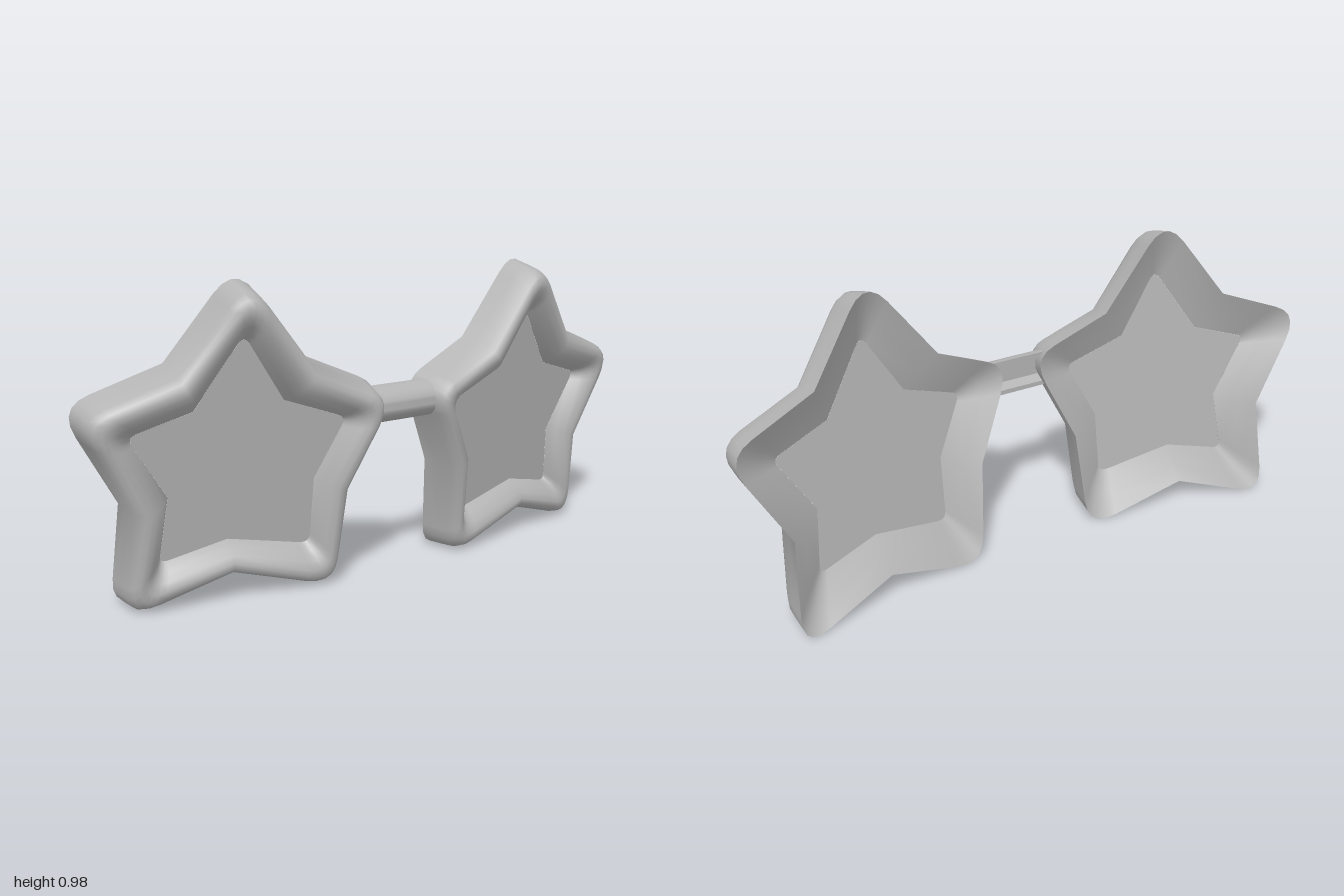
import * as THREE from 'three';
import { toCreasedNormals } from 'three/addons/utils/BufferGeometryUtils.js';

// Star corners, counterclockwise from the top: tip, notch, tip, notch...
const OUTER = [[0.535, 1.02], [0.31, 0.73], [0.045, 0.613], [0.18, 0.32], [0.21, -0.03],
  [0.56, 0.08], [0.89, -0.03], [0.867, 0.32], [1.036, 0.632], [0.74, 0.74]];
const INNER = [[0.53, 0.83], [0.4, 0.62], [0.195, 0.545], [0.29, 0.355], [0.293, 0.135],
  [0.56, 0.19], [0.768, 0.14], [0.745, 0.35], [0.865, 0.55], [0.675, 0.61]];

// Rounds the tips of a star and keeps the notches
function roundedStar(corners, r, steps = 5) {
  const p = corners.map(([x, y]) => new THREE.Vector2(x, y));
  const out = [];
  for (let i = 0; i < 10; i += 2) {
    const a = p[i].clone().lerp(p[(i + 9) % 10], r);
    const b = p[i].clone().lerp(p[i + 1], r);
    out.push(...new THREE.QuadraticBezierCurve(a, p[i], b).getPoints(steps), p[i + 1]);
  }
  return out;
}

// Each eye leans: the back plane tilts with height and sweeps back sideways
const backZ = (x, y) => -0.125 + 0.13 * y - 0.18 * (x - 0.54);

// Skin between the two outlines; each row is [blend to inner outline, height above back plane]
function skin(outer, inner, rows) {
  const n = outer.length, pos = [], idx = [];
  rows.forEach(([t, h], i) => {
    for (let j = 0; j < n; j++) {
      const p = outer[j].clone().lerp(inner[j], t);
      pos.push(p.x + 0.12 * h, p.y - 0.1 * h, backZ(p.x, p.y) + h);
      if (i === rows.length - 1) continue;
      const a = i * n + j, b = i * n + (j + 1) % n;
      idx.push(a, b, b + n, a, b + n, a + n);
    }
  });
  const g = new THREE.BufferGeometry();
  g.setAttribute('position', new THREE.Float32BufferAttribute(pos, 3));
  g.setIndex(idx);
  g.computeVertexNormals();
  return g;
}

// Mirrored copy across x = 0 with the corner order restored
function mirrored(geometry) {
  const g = geometry.clone().scale(-1, 1, 1);
  const a = g.index.array;
  for (let i = 0; i < a.length; i += 3) [a[i], a[i + 1]] = [a[i + 1], a[i]];
  g.computeVertexNormals();
  return g;
}

export function createModel() {
  const model = new THREE.Group();
  model.name = 'starGlasses';
  const grey = new THREE.MeshStandardMaterial({ color: 0xb4b4b4, side: THREE.DoubleSide });
  grey.name = 'plainGrey';

  const outer = roundedStar(OUTER, 0.3);
  const inner = roundedStar(INNER, 0.14);

  // Outer wall rolling over a rounded rim down to the lens
  const rim = skin(outer, inner, [[0, 0], [0.06, 0.06], [0.12, 0.11], [0.21, 0.135],
    [0.34, 0.147], [0.5, 0.146], [0.68, 0.133], [0.86, 0.108], [1, 0.078]]);
  // Sloping wall of the open back
  const backWall = skin(outer, inner, [[1, 0.078], [0.5, 0.042], [0, 0]]);
  // Flat lens in the leaning plane
  const lens = new THREE.ShapeGeometry(new THREE.Shape(inner));
  const lp = lens.attributes.position;
  for (let i = 0; i < lp.count; i++) {
    const x = lp.getX(i), y = lp.getY(i);
    lp.setXYZ(i, x + 0.009, y - 0.008, backZ(x, y) + 0.078);
  }
  lens.computeVertexNormals();

  const parts = { Rim: rim, BackWall: backWall, Lens: lens };
  for (const side of ['left', 'right']) {
    const eye = new THREE.Group();
    eye.name = side + 'Eye';
    for (const [name, g] of Object.entries(parts)) {
      const mesh = new THREE.Mesh(side === 'left' ? g : mirrored(g), grey);
      mesh.name = side + name;
      eye.add(mesh);
    }
    model.add(eye);
  }

  // Bridge: half-round bar with a shallow channel along its back
  const profile = new THREE.Shape();
  profile.moveTo(0, -0.06);
  profile.lineTo(0, -0.045);
  profile.lineTo(-0.03, -0.03);
  profile.lineTo(-0.03, 0.03);
  profile.lineTo(0, 0.045);
  profile.lineTo(0, 0.06);
  profile.absellipse(0, 0, 0.073, 0.06, Math.PI / 2, Math.PI * 1.5, false);
  const bar = new THREE.ExtrudeGeometry(profile, { depth: 0.26, bevelEnabled: false, curveSegments: 10 });
  bar.translate(0, 0, -0.13).rotateY(Math.PI / 2);
  const bridge = new THREE.Mesh(toCreasedNormals(bar, 0.6), grey);
  bridge.name = 'bridge';
  bridge.position.set(0, 0.56, 0.067);
  model.add(bridge);

  // Stand on the ground
  model.position.y = -new THREE.Box3().setFromObject(model).min.y;
  return model;
}
